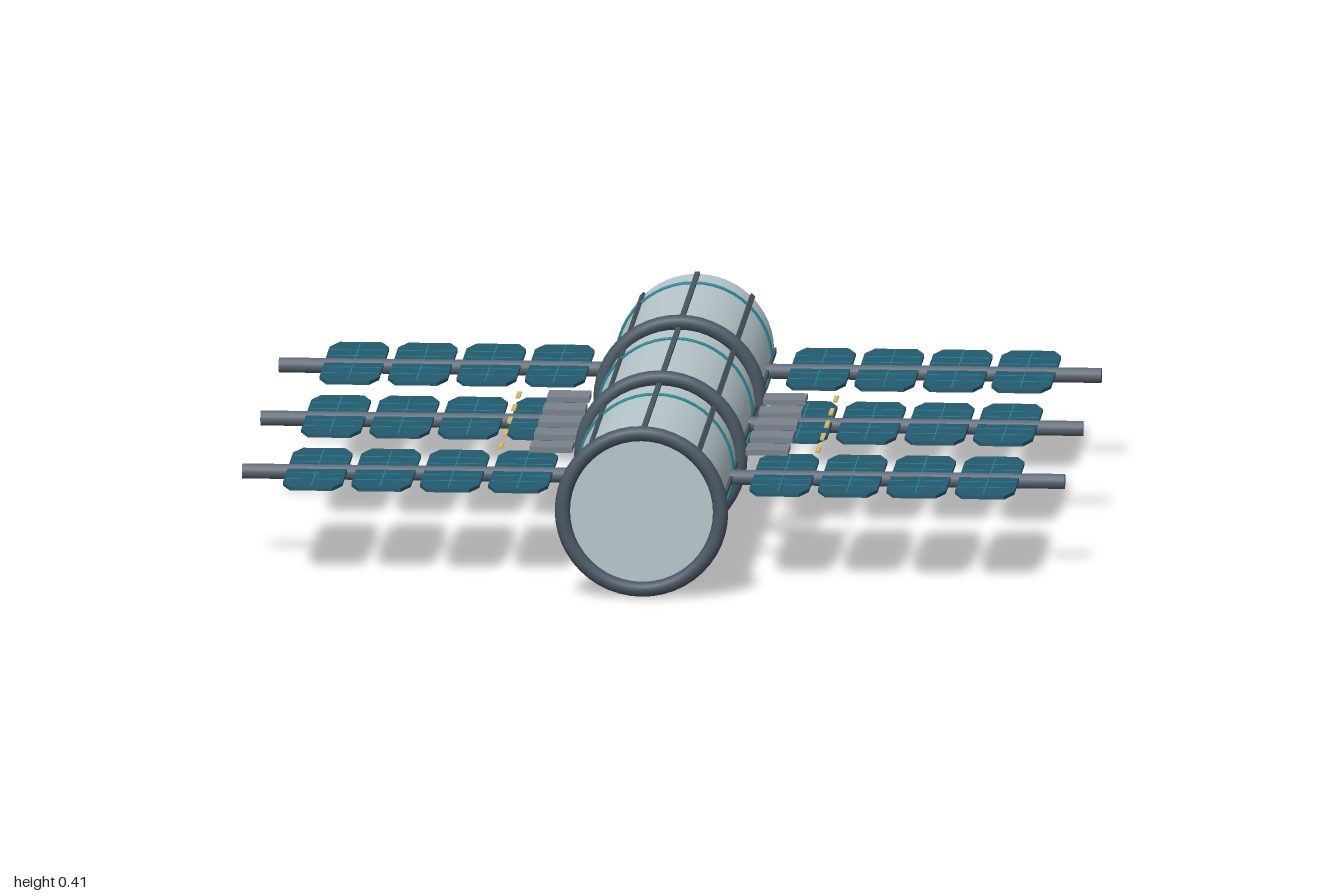
import * as THREE from 'three';

const CY = 0.208; // height of the station axis
const BODY_R = 0.18;
const BODY_LEN = 0.62;

const mat = (color) => new THREE.MeshStandardMaterial({ color });
const hullMat = mat(0xb8c8cc);
const ribMat = mat(0x4a555c);
const ringMat = mat(0x4a5764);
const boomMat = mat(0x5c6874);
const cellMat = mat(0x245a70);
const tealMat = mat(0x1f8494);
const boxMat = mat(0x7a828c);
const goldMat = mat(0xd8b860);

function add(parent, name, geometry, material, x = 0, y = 0, z = 0) {
  const mesh = new THREE.Mesh(geometry, material);
  mesh.name = name;
  mesh.position.set(x, y, z);
  parent.add(mesh);
  return mesh;
}

// Pressurised section: hull, eight long ribs, teal band and front docking ring
function createSection() {
  const section = new THREE.Group();
  section.name = 'section';
  const hull = new THREE.CylinderGeometry(BODY_R, BODY_R, BODY_LEN, 48).rotateX(Math.PI / 2);
  add(section, 'hull', hull, hullMat);
  const rib = new THREE.BoxGeometry(0.012, 0.012, BODY_LEN);
  for (let i = 0; i < 8; i++) {
    const a = (i * Math.PI) / 4;
    const mesh = add(section, 'rib', rib, ribMat, Math.cos(a) * BODY_R, Math.sin(a) * BODY_R, 0);
    mesh.rotation.z = a;
  }
  add(section, 'band', new THREE.TorusGeometry(0.181, 0.005, 8, 48), tealMat, 0, 0, -0.19);
  add(section, 'dockingRing', new THREE.TorusGeometry(0.186, 0.018, 12, 48), ringMat, 0, 0, BODY_LEN / 2);
  return section;
}

// Solar leaf: a thin plate with cut corners, lying flat, centred on its boom
function leafGeometry() {
  const w = 0.07, h = 0.24, endW = 0.05, cut = 0.18;
  const shape = new THREE.Shape([
    [-endW, -h], [endW, -h], [w, -cut], [w, cut],
    [endW, h], [-endW, h], [-w, cut], [-w, -cut],
  ].map(([x, y]) => new THREE.Vector2(x, y)));
  return new THREE.ExtrudeGeometry(shape, { depth: 0.008, bevelEnabled: false })
    .translate(0, 0, -0.004).rotateX(-Math.PI / 2);
}

// One side's solar wing: boom, four leaves and their cell lines
function createWing(side) {
  const wing = new THREE.Group();
  wing.name = side > 0 ? 'leftWing' : 'rightWing';
  const boom = new THREE.CylinderGeometry(0.018, 0.018, 0.8, 16).rotateZ(Math.PI / 2);
  add(wing, 'boom', boom, boomMat, side * 0.567, 0, 0);
  const leaf = leafGeometry();
  const longLine = new THREE.BoxGeometry(0.003, 0.002, 0.44);
  const crossLine = new THREE.BoxGeometry(0.13, 0.002, 0.002);
  for (let i = 0; i < 4; i++) {
    const x = side * (0.307 + i * 0.161);
    add(wing, 'solarLeaf', leaf, cellMat, x, 0.006, 0);
    add(wing, 'cellLine', longLine, tealMat, x, 0.0105, 0);
    for (const z of [-0.14, -0.07, 0.07, 0.14]) add(wing, 'cellLine', crossLine, tealMat, x, 0.0105, z);
  }
  return wing;
}

export function createModel() {
  const model = new THREE.Group();
  model.name = 'spaceStation';

  for (const z of [-0.69, -0.01, 0.67]) {
    const section = createSection();
    section.position.set(0, CY, z);
    model.add(section);
  }

  for (const z of [-0.743, -0.096, 0.55]) {
    for (const side of [-1, 1]) {
      const wing = createWing(side);
      wing.position.set(0, CY, z);
      model.add(wing);
    }
  }

  // Rows of equipment boxes with slim gold antennas beside the middle section
  const box = new THREE.BoxGeometry(0.1, 0.013, 0.085);
  const antenna = new THREE.BoxGeometry(0.01, 0.004, 0.07);
  for (const side of [-1, 1]) {
    for (let i = 0; i < 5; i++) {
      const z = -0.283 + i * 0.153;
      add(model, 'equipmentBox', box, boxMat, side * 0.254, 0.232, z);
      add(model, 'antenna', antenna, goldMat, side * 0.373, 0.234, z);
    }
  }
  return model;
}
